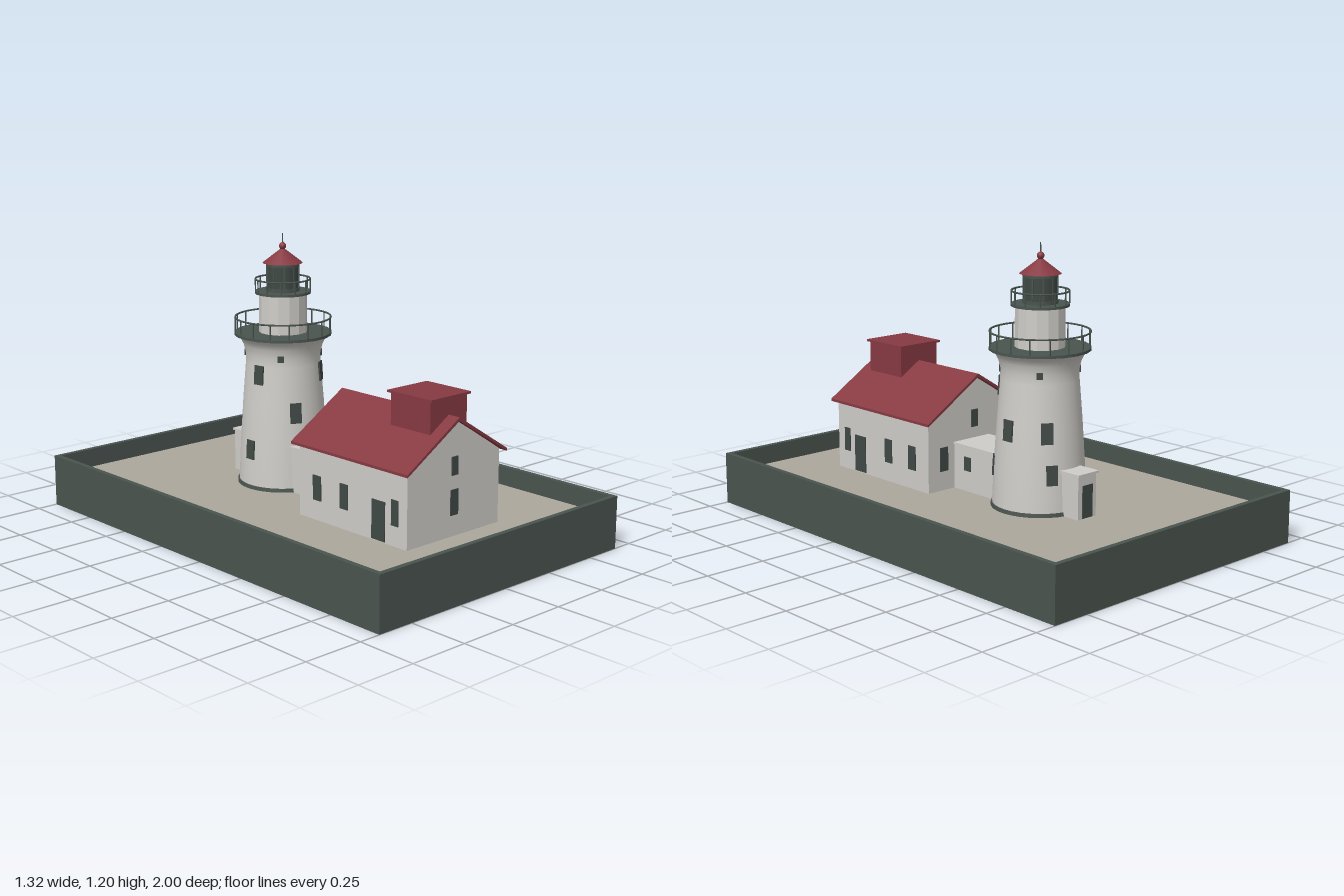
import * as THREE from 'three';

const mat = (name, color, opts = {}) => {
  const m = new THREE.MeshStandardMaterial({ color, ...opts });
  m.name = name;
  return m;
};

export function createModel() {
  const white = mat('whitewash', 0xcfcdc8);
  const red = mat('roofRed', 0x873a42);
  const green = mat('darkGreen', 0x4a544f);
  const pane = mat('darkPane', 0x404945);
  const sand = mat('ground', 0xaca79c);

  const model = new THREE.Group();
  model.name = 'lighthouseStation';

  const add = (parent, name, geo, material, x = 0, y = 0, z = 0) => {
    const m = new THREE.Mesh(geo, material);
    m.name = name;
    m.position.set(x, y, z);
    parent.add(m);
    return m;
  };
  // Box given by its minimum and maximum corners
  const box = (parent, name, material, x0, x1, y0, y1, z0, z1) =>
    add(parent, name, new THREE.BoxGeometry(x1 - x0, y1 - y0, z1 - z0), material,
      (x0 + x1) / 2, (y0 + y1) / 2, (z0 + z1) / 2);
  const group = (name, x = 0, y = 0, z = 0) => {
    const g = new THREE.Group();
    g.name = name;
    g.position.set(x, y, z);
    model.add(g);
    return g;
  };
  // Outline in x and y, extruded along z
  const prism = (points, z0, z1) => {
    const shape = new THREE.Shape(points.map(([x, y]) => new THREE.Vector2(x, y)));
    return new THREE.ExtrudeGeometry(shape, { depth: z1 - z0, bevelEnabled: false }).translate(0, 0, z0);
  };

  // Tray: open underneath, ground recessed below the rim
  const floorY = 0.14, T = 0.022;
  const tray = group('tray');
  for (const s of [-1, 1]) {
    const x = s * (0.66 - T / 2), z = s * (1 - T / 2);
    box(tray, 'sideRim', green, x - T / 2, x + T / 2, 0, 0.22, -1, 1);
    box(tray, 'endRim', green, -0.66 + T, 0.66 - T, 0, 0.22, z - T / 2, z + T / 2);
  }
  box(tray, 'ground', sand, -0.66 + T, 0.66 - T, floorY - 0.008, floorY, -1 + T, 1 - T);

  // House
  const house = group('house', -0.005);
  const hw = 0.253, zf = 0.735, zb = 0.14;
  add(house, 'houseWalls', prism([[-hw, floorY], [hw, floorY], [hw, 0.44], [0, 0.6], [-hw, 0.44]], zb, zf), white);
  add(house, 'houseRoof', prism([
    [-0.275, 0.43], [0, 0.598], [0.275, 0.43], [0.275, 0.441], [0, 0.612], [-0.275, 0.441],
  ], 0.114, 0.756), red);
  box(house, 'cupola', red, -0.1, 0.1, 0.53, 0.68, 0.492, 0.7);
  box(house, 'cupolaCap', red, -0.109, 0.109, 0.678, 0.687, 0.48, 0.712);

  // Thin plates: on walls facing z or facing x
  const t = 0.004;
  const plateZ = (p, name, x, w, y0, y1, z) => box(p, name, pane, x - w / 2, x + w / 2, y0, y1, z - t, z + t);
  const plateX = (p, name, x, z, w, y0, y1) => box(p, name, pane, x - t, x + t, y0, y1, z - w / 2, z + w / 2);
  plateZ(house, 'frontLowerWindow', 0, 0.042, 0.225, 0.327, zf);
  for (const z of [zf, zb]) plateZ(house, 'gableWindow', 0, 0.034, 0.383, 0.457, z);
  for (const x of [-0.17, 0.17]) plateZ(house, 'backWindow', x, 0.042, 0.222, 0.323, zb);
  for (const s of [-1, 1]) {
    for (const [z, w] of [[0.672, 0.036], [0.396, 0.045], [0.243, 0.045]])
      plateX(house, 'sideWindow', s * hw, z, w, 0.222, 0.323);
    plateX(house, 'sideDoor', s * hw, 0.585, 0.07, 0.145, 0.302);
  }

  // Passage between house and tower
  const passage = group('passage', 0.012);
  box(passage, 'passageWalls', white, -0.095, 0.095, floorY, 0.328, -0.2, zb);
  box(passage, 'passageRoof', white, -0.1, 0.1, 0.328, 0.336, -0.2, zb);
  for (const s of [-1, 1]) plateX(passage, 'passageWindow', s * 0.095, 0.056, 0.04, 0.228, 0.286);

  // Porch behind the tower
  const porch = group('porch', 0.012);
  box(porch, 'porchWalls', white, -0.05, 0.05, floorY, 0.315, -0.53, -0.35);
  box(porch, 'porchRoof', white, -0.056, 0.056, 0.315, 0.324, -0.538, -0.35);
  plateZ(porch, 'porchDoor', 0, 0.055, 0.143, 0.275, -0.53);

  // Tower
  const tower = group('tower', 0.012, 0, -0.265);
  const profile = [[0.19, floorY], [0.183, 0.3], [0.17, 0.5], [0.157, 0.66], [0.157, 0.7],
    [0.165, 0.735], [0.178, 0.76], [0.198, 0.776]];
  add(tower, 'towerShaft', new THREE.LatheGeometry(profile.map(([r, y]) => new THREE.Vector2(r, y)), 32), white);
  const drum = (name, material, r0, r1, y0, y1, sides) =>
    add(tower, name, new THREE.CylinderGeometry(r1, r0, y1 - y0, sides), material, 0, (y0 + y1) / 2, 0);
  drum('towerFooting', green, 0.196, 0.194, floorY, 0.155, 32);
  drum('lowerDeck', green, 0.204, 0.204, 0.775, 0.786, 20);
  const upper = drum('upperDrum', white, 0.101, 0.1, 0.785, 0.95, 14);
  upper.geometry = upper.geometry.toNonIndexed();
  upper.geometry.computeVertexNormals();
  drum('upperDeck', green, 0.117, 0.117, 0.948, 0.958, 20);

  // Tower windows: angle from the front toward +x in degrees, centre height, width, height
  const radiusAt = (y) => {
    const i = profile.findIndex((p) => p[1] >= y);
    const [r0, y0] = profile[i - 1], [r1, y1] = profile[i];
    return r0 + ((r1 - r0) * (y - y0)) / (y1 - y0);
  };
  const windows = [
    [34, 0.625, 0.045, 0.08], [-80, 0.625, 0.045, 0.08],
    [90, 0.472, 0.048, 0.085], [145, 0.472, 0.048, 0.085], [-24, 0.472, 0.048, 0.085],
    [48, 0.306, 0.045, 0.08], [151, 0.306, 0.045, 0.08], [-90, 0.306, 0.045, 0.08],
    ...[45, 135, 225, 315].map((a) => [a, 0.698, 0.026, 0.026]),
  ];
  for (const [deg, y, w, h] of windows) {
    const a = THREE.MathUtils.degToRad(deg), r = radiusAt(y);
    const m = add(tower, 'towerWindow', new THREE.BoxGeometry(w, h, 0.009), pane, Math.sin(a) * r, y, Math.cos(a) * r);
    m.rotation.set(y < 0.68 ? -0.065 : 0, a, 0, 'YXZ');
  }

  // Ring railings
  const railing = (name, r, y0, y1, posts, heights) => {
    for (const y of heights)
      add(tower, name + 'Rail', new THREE.TorusGeometry(r, 0.0038, 6, 40).rotateX(Math.PI / 2), green, 0, y, 0);
    for (let i = 0; i < posts; i++) {
      const a = ((i + 0.5) / posts) * Math.PI * 2;
      add(tower, name + 'Post', new THREE.CylinderGeometry(0.003, 0.003, y1 - y0, 6), green,
        Math.sin(a) * r, (y0 + y1) / 2, Math.cos(a) * r);
    }
  };
  railing('lowerGallery', 0.2, 0.785, 0.848, 16, [0.848]);
  railing('upperGallery', 0.114, 0.957, 1.008, 12, [1.008]);

  // Lantern room, roof and finial
  drum('lanternGlass', pane, 0.067, 0.067, 0.955, 1.076, 10);
  drum('lanternSill', green, 0.071, 0.071, 0.955, 0.972, 10);
  drum('lanternHead', green, 0.071, 0.071, 1.062, 1.076, 10);
  for (let i = 0; i < 10; i++) {
    const a = (i / 10) * Math.PI * 2;
    const m = add(tower, 'lanternBar', new THREE.BoxGeometry(0.006, 0.11, 0.006), green,
      Math.sin(a) * 0.067, 1.016, Math.cos(a) * 0.067);
    m.rotation.y = a;
  }
  drum('lanternRoof', red, 0.084, 0.01, 1.075, 1.132, 16);
  add(tower, 'finialBall', new THREE.SphereGeometry(0.015, 16, 12), red, 0, 1.145, 0);
  drum('lightningRod', green, 0.003, 0.002, 1.155, 1.197, 6);

  return model;
}
